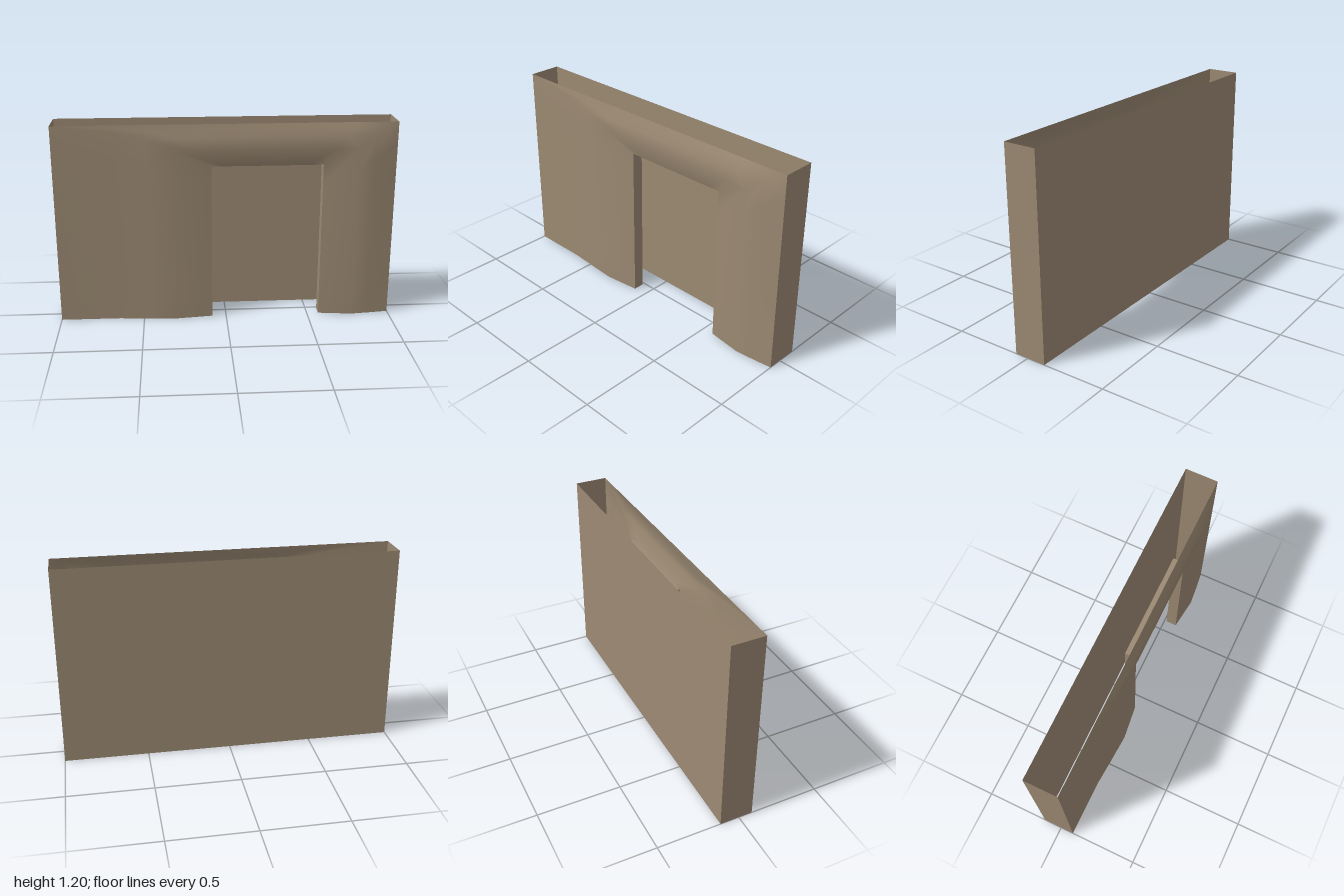
import * as THREE from 'three';

const BACK = -0.115, FRONT = 0.083, REVEAL = 0.015, HEIGHT = 1.2;
const DOOR = { left: -0.085, right: 0.57, top: 0.95 };

// Flat panel with a given size, centre and rotation
function panel(name, mat, w, h, pos, rot) {
  const mesh = new THREE.Mesh(new THREE.PlaneGeometry(w, h), mat);
  mesh.name = name;
  mesh.position.set(...pos);
  mesh.rotation.set(...rot);
  return mesh;
}

// Bulging front skin: sections run from the door edge outwards, [x, y, bulge]
function frontSkin() {
  const sections = [
    [[-0.085, 0, 0], [-0.3, 0, 0.025], [-0.47, 0, 0.014], [-0.65, 0, 0.001], [-1, 0, 0]],
    [[-0.085, 0.95, 0], [-0.3, 1.05, 0.03], [-0.46, 1.12, 0.02], [-0.66, 1.16, 0.004], [-1, 1.2, 0]],
    [[0.57, 0.95, 0], [0.77, 1.05, 0.035], [0.87, 1.13, 0.026], [0.94, 1.17, 0.013], [1, 1.2, 0]],
    [[0.57, 0, 0], [0.77, 0, 0.025], [0.86, 0, 0.017], [0.94, 0, 0.008], [1, 0, 0]],
  ];
  const steps = 8, n = 5, pos = [], index = [];
  for (let s = 0; s < 3; s++) {
    for (let k = s ? 1 : 0; k <= steps; k++) {
      for (let j = 0; j < n; j++) {
        const p = new THREE.Vector3(...sections[s][j])
          .lerp(new THREE.Vector3(...sections[s + 1][j]), k / steps);
        pos.push(p.x, p.y, FRONT + p.z);
      }
    }
  }
  for (let i = 0; i < steps * 3; i++) {
    for (let j = 0; j < n - 1; j++) {
      const a = i * n + j, b = a + 1, c = a + n, d = c + 1;
      index.push(a, c, b, b, c, d);
    }
  }
  const geo = new THREE.BufferGeometry();
  geo.setAttribute('position', new THREE.Float32BufferAttribute(pos, 3));
  geo.setIndex(index);
  geo.computeVertexNormals();
  return geo;
}

export function createModel() {
  const group = new THREE.Group();
  group.name = 'wallWithDoorway';
  const plaster = new THREE.MeshStandardMaterial({ color: 0x9c8a73, side: THREE.DoubleSide });
  plaster.name = 'tan plaster';

  const front = new THREE.Mesh(frontSkin(), plaster);
  front.name = 'frontWall';
  group.add(front);

  // Back and end walls, open above and below
  const depth = FRONT - BACK, midZ = (FRONT + BACK) / 2;
  group.add(panel('backWall', plaster, 2, HEIGHT, [0, HEIGHT / 2, BACK], [0, Math.PI, 0]));
  for (const s of [-1, 1]) {
    group.add(panel(s > 0 ? 'leftEndWall' : 'rightEndWall', plaster, depth, HEIGHT,
      [s, HEIGHT / 2, midZ], [0, s * Math.PI / 2, 0]));
  }

  // Short returns lining the doorway
  const rd = FRONT - REVEAL, rz = (FRONT + REVEAL) / 2;
  group.add(panel('rightDoorJamb', plaster, rd, DOOR.top, [DOOR.left, DOOR.top / 2, rz], [0, Math.PI / 2, 0]));
  group.add(panel('leftDoorJamb', plaster, rd, DOOR.top, [DOOR.right, DOOR.top / 2, rz], [0, -Math.PI / 2, 0]));
  group.add(panel('doorLintel', plaster, DOOR.right - DOOR.left, rd,
    [(DOOR.left + DOOR.right) / 2, DOOR.top, rz], [Math.PI / 2, 0, 0]));
  return group;
}
